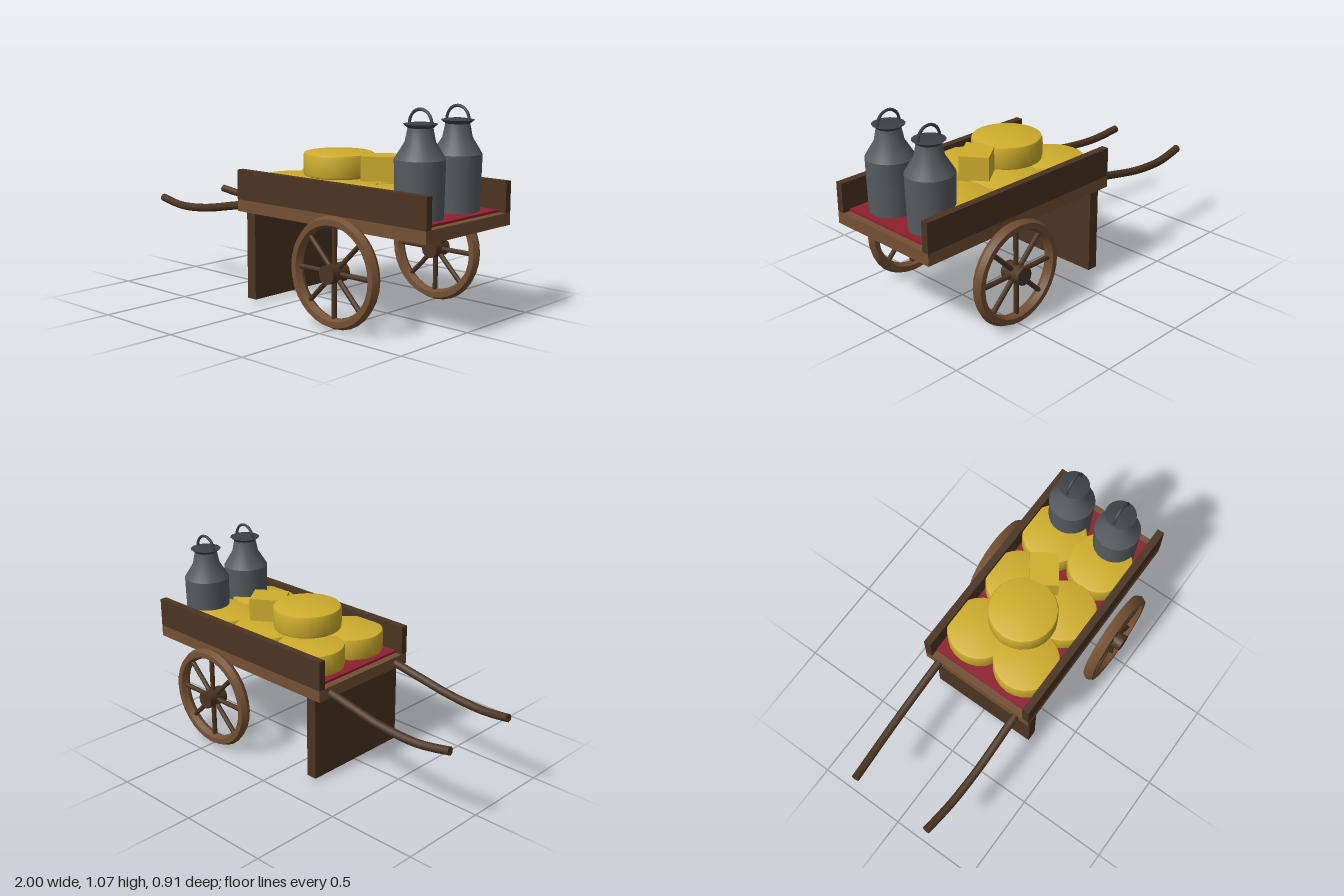
import * as THREE from 'three';
import { toCreasedNormals } from 'three/addons/utils/BufferGeometryUtils.js';

const mat = (name, color) => {
  const m = new THREE.MeshStandardMaterial({ color });
  m.name = name;
  return m;
};

export function createModel() {
  const darkWood = mat('dark wood', 0x4b3422);
  const lightWood = mat('light wood', 0x735033);
  const yellow = mat('cheese yellow', 0xcfae2d);
  const red = mat('red cloth', 0x8e2030);
  const grey = mat('can grey', 0x555b5f);
  const darkGrey = mat('lid grey', 0x3d4144);

  const root = new THREE.Group();
  root.name = 'handcart';

  const add = (parent, name, geometry, material, x = 0, y = 0, z = 0) => {
    const m = new THREE.Mesh(geometry, material);
    m.name = name;
    m.position.set(x, y, z);
    parent.add(m);
    return m;
  };
  // Box given by its limits on each axis
  const box = (name, material, [x0, x1], [y0, y1], [z0, z1]) =>
    add(root, name, new THREE.BoxGeometry(x1 - x0, y1 - y0, z1 - z0), material,
      (x0 + x1) / 2, (y0 + y1) / 2, (z0 + z1) / 2);
  const lathe = (points, segments) => toCreasedNormals(
    new THREE.LatheGeometry(points.map(([r, y]) => new THREE.Vector2(r, y)), segments), 0.5);

  // Cart body
  box('bed', lightWood, [-0.25, 1], [0.48, 0.543], [-0.333, 0.333]);
  box('cloth', red, [-0.21, 0.96], [0.543, 0.555], [-0.295, 0.295]);
  box('legBoard', darkWood, [-0.2, -0.14], [0.015, 0.48], [-0.313, 0.313]);
  box('leftSideBoard', darkWood, [-0.25, 1], [0.543, 0.7], [0.293, 0.333]);
  box('rightSideBoard', darkWood, [-0.25, 1], [0.543, 0.7], [-0.333, -0.293]);

  // Wheels: six-sided rim, eight spokes, hub
  const rimPoints = [];
  for (let i = 0; i <= 6; i++) {
    const a = i * Math.PI / 3;
    rimPoints.push([0.249 + 0.029 * Math.cos(a), 0.033 * Math.sin(a)]);
  }
  const rimGeometry = lathe(rimPoints, 32).rotateX(Math.PI / 2);
  const spokeGeometry = new THREE.CylinderGeometry(0.013, 0.013, 0.2, 8).translate(0, 0.13, 0);
  const hubGeometry = new THREE.CylinderGeometry(0.048, 0.048, 0.117, 12).rotateX(Math.PI / 2);

  // Pull handles
  const handlePoints = [
    [-0.24, 0.508, 0.25], [-0.4, 0.478, 0.253], [-0.6, 0.443, 0.254],
    [-0.8, 0.43, 0.247], [-0.9, 0.438, 0.239], [-0.997, 0.453, 0.23],
  ];

  for (const [side, s] of [['left', 1], ['right', -1]]) {
    const wheel = new THREE.Group();
    wheel.name = side + 'Wheel';
    wheel.position.set(0.5, 0.28, s * 0.396);
    add(wheel, 'rim', rimGeometry, lightWood);
    add(wheel, 'hub', hubGeometry, darkWood);
    for (let i = 0; i < 8; i++) {
      add(wheel, 'spoke', spokeGeometry, darkWood).rotation.z = i * Math.PI / 4;
    }
    root.add(wheel);

    const curve = new THREE.CatmullRomCurve3(
      handlePoints.map(([x, y, z]) => new THREE.Vector3(x, y, z * s)));
    add(root, side + 'Handle', new THREE.TubeGeometry(curve, 20, 0.022, 8), darkWood);
    const end = add(root, side + 'HandleEnd', new THREE.CircleGeometry(0.022, 8), darkWood);
    end.position.copy(curve.getPoint(1));
    end.lookAt(end.position.clone().add(curve.getTangent(1)));
  }

  // Cheeses with softened edges
  const cheese = (r, h) => lathe([
    [0, 0], [r - 0.014, 0], [r - 0.004, 0.004], [r, 0.014],
    [r, h - 0.014], [r - 0.004, h - 0.004], [r - 0.014, h], [0, h],
  ], 24);
  const lowCheese = cheese(0.176, 0.121);
  for (const x of [-0.01, 0.328, 0.665]) {
    for (const z of [0.148, -0.148]) add(root, 'lowerCheese', lowCheese, yellow, x, 0.555, z);
  }
  add(root, 'topCheese', cheese(0.183, 0.125), yellow, 0.164, 0.676, 0);
  add(root, 'cheeseBlock', new THREE.BoxGeometry(0.19, 0.125, 0.152), yellow,
    0.412, 0.738, -0.043).rotation.y = 0.617;

  // Milk cans
  const bodyGeometry = lathe([
    [0, 0.555], [0.117, 0.555], [0.123, 0.835], [0.074, 0.915], [0.06, 0.985], [0, 0.985],
  ], 24);
  const lidGeometry = lathe([
    [0, 0.978], [0.056, 0.978], [0.082, 1.0], [0.03, 1.008], [0, 1.008],
  ], 24);
  const bailGeometry = new THREE.TorusGeometry(0.066, 0.008, 6, 14, Math.PI);
  for (const z of [0.145, -0.145]) {
    const can = new THREE.Group();
    can.name = 'milkCan';
    can.position.set(0.81, 0, z);
    add(can, 'canBody', bodyGeometry, grey);
    add(can, 'canLid', lidGeometry, darkGrey);
    add(can, 'canHandle', bailGeometry, darkGrey, 0, 1.002, 0);
    root.add(can);
  }

  return root;
}
